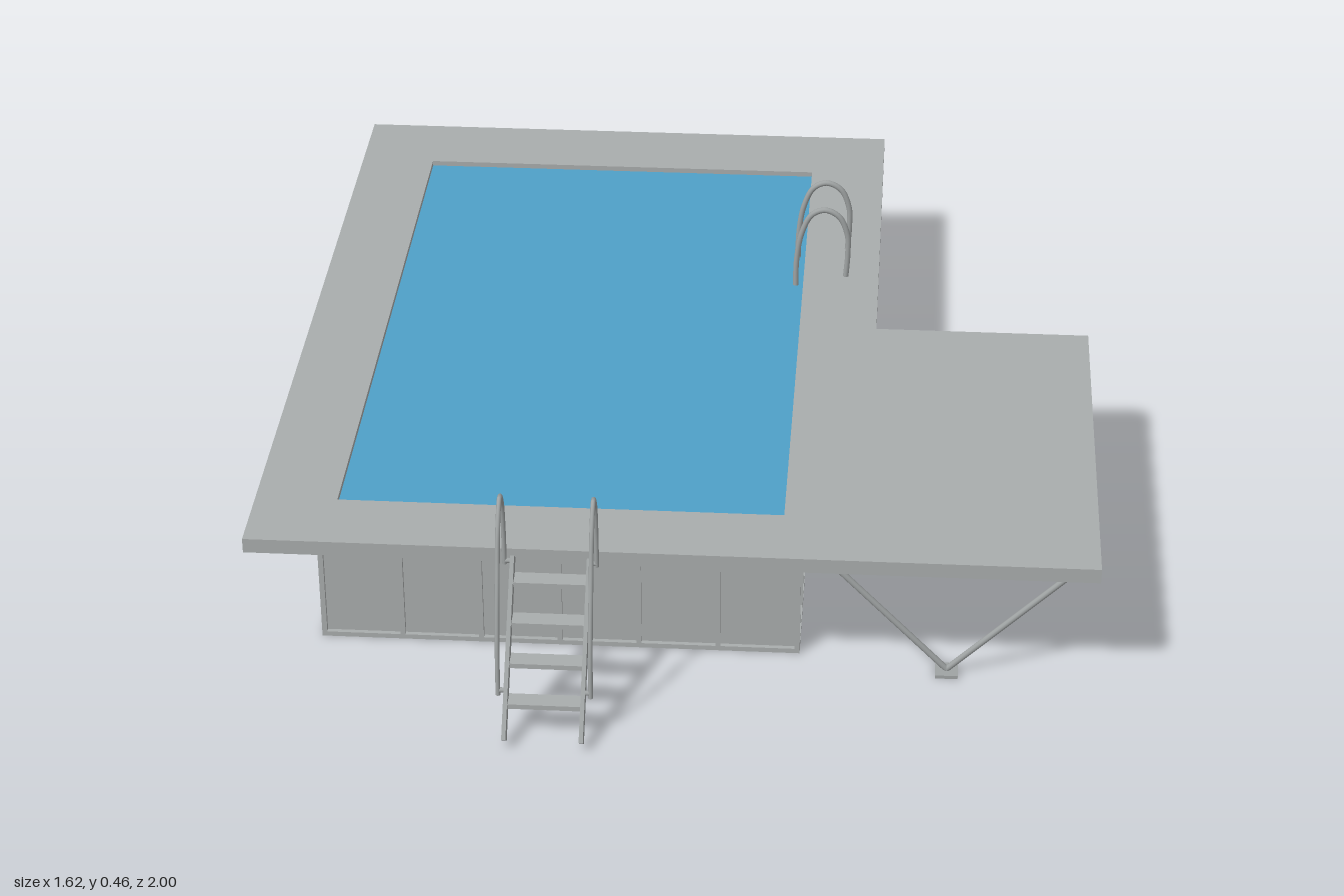
import * as THREE from 'three';

const gray = new THREE.MeshStandardMaterial({ color: 0xa9adad });
gray.name = 'deckGray';
const metal = new THREE.MeshStandardMaterial({ color: 0x9fa3a3 });
metal.name = 'metalGray';
const waterBlue = new THREE.MeshStandardMaterial({ color: 0x4fa0c8 });
waterBlue.name = 'waterBlue';
const linerBlue = new THREE.MeshStandardMaterial({ color: 0x2b629c });
linerBlue.name = 'linerBlue';

const UP = new THREE.Vector3(0, 1, 0);
const vec = (p) => new THREE.Vector3(...p);

export function createModel() {
  const root = new THREE.Group();
  root.name = 'raisedPool';

  const group = (name) => {
    const g = new THREE.Group();
    g.name = name;
    root.add(g);
    return g;
  };
  const add = (parent, name, geometry, material) => {
    const m = new THREE.Mesh(geometry, material);
    m.name = name;
    parent.add(m);
    return m;
  };
  // Box given by its limits on each axis
  const box = (parent, name, x0, x1, y0, y1, z0, z1, material = gray) => {
    const m = add(parent, name, new THREE.BoxGeometry(x1 - x0, y1 - y0, z1 - z0), material);
    m.position.set((x0 + x1) / 2, (y0 + y1) / 2, (z0 + z1) / 2);
    return m;
  };
  // Straight round bar between two points
  const bar = (parent, name, a, b, r) => {
    const p = vec(a), q = vec(b), d = q.clone().sub(p);
    const m = add(parent, name, new THREE.CylinderGeometry(r, r, d.length(), 10), metal);
    m.position.copy(p).add(q).multiplyScalar(0.5);
    m.quaternion.setFromUnitVectors(UP, d.normalize());
    return m;
  };
  const tube = (parent, name, points, r) => {
    const curve = new THREE.CatmullRomCurve3(points.map(vec));
    return add(parent, name, new THREE.TubeGeometry(curve, 48, r, 10), metal);
  };

  // Deck slab: L-shaped outline with the pool opening, z mapped to -shape y
  const outline = [[-0.81, -1], [0.37, -1], [0.37, -0.12], [0.81, -0.12], [0.81, 0.76], [-0.81, 0.76]];
  const opening = [[-0.655, -0.85], [0.21, -0.85], [0.21, 0.61], [-0.655, 0.61]];
  const toV2 = ([x, z]) => new THREE.Vector2(x, -z);
  const shape = new THREE.Shape(outline.map(toV2));
  shape.holes.push(new THREE.Path(opening.map(toV2)));
  const slabGeo = new THREE.ExtrudeGeometry(shape, { depth: 0.015, bevelEnabled: false });
  slabGeo.rotateX(-Math.PI / 2);
  const deck = group('deck');
  add(deck, 'deckSlab', slabGeo, gray).position.y = 0.28;

  // Fascia strips hanging along the deck edge
  const t = 0.012;
  box(deck, 'backFascia', -0.81, 0.37, 0.265, 0.28, -1, -1 + t);
  box(deck, 'frontFascia', -0.81, 0.81, 0.265, 0.28, 0.76 - t, 0.76);
  box(deck, 'leftFascia', -0.81, -0.81 + t, 0.265, 0.28, -1 + t, 0.76 - t);
  box(deck, 'poolSideFascia', 0.37 - t, 0.37, 0.265, 0.28, -1 + t, -0.12);
  box(deck, 'terraceBackFascia', 0.37 - t, 0.81, 0.265, 0.28, -0.12, -0.12 + t);
  box(deck, 'terraceSideFascia', 0.81 - t, 0.81, 0.265, 0.28, -0.12 + t, 0.76 - t);

  // Pool walls, floor and water
  const X0 = -0.69, X1 = 0.245, Z0 = -0.88, Z1 = 0.645, inset = 0.009;
  const pool = group('pool');
  box(pool, 'leftWall', X0 + inset, -0.655, 0.004, 0.281, Z0 + inset, Z1 - inset);
  box(pool, 'rightWall', 0.21, X1 - inset, 0.004, 0.281, Z0 + inset, Z1 - inset);
  box(pool, 'backWall', -0.655, 0.21, 0.004, 0.281, Z0 + inset, -0.85);
  box(pool, 'frontWall', -0.655, 0.21, 0.004, 0.281, 0.61, Z1 - inset);
  box(pool, 'floor', X0 + inset, X1 - inset, 0.001, 0.006, Z0 + inset, Z1 - inset, linerBlue);
  box(pool, 'water', -0.655, 0.21, 0.262, 0.27, -0.85, 0.61, waterBlue);

  // Wall frame: bottom and top rails plus evenly spaced ribs
  const frame = group('wallFrame');
  for (const [y0, y1] of [[0, 0.01], [0.27, 0.28]]) {
    for (const x of [X0, X1 - inset]) box(frame, 'sideRail', x, x + inset, y0, y1, Z0, Z1);
    for (const z of [Z0, Z1 - inset]) box(frame, 'endRail', X0 + inset, X1 - inset, y0, y1, z, z + inset);
  }
  const w = 0.005;
  for (let i = 0; i <= 6; i++) {
    const x = X0 + w + (X1 - X0 - 2 * w) * i / 6;
    for (const z of [Z0, Z1 - inset]) box(frame, 'endRib', x - w, x + w, 0.01, 0.27, z, z + inset);
  }
  for (let i = 0; i <= 10; i++) {
    const z = Z0 + w + (Z1 - Z0 - 2 * w) * i / 10;
    for (const x of [X0, X1 - inset]) box(frame, 'sideRib', x, x + inset, 0.01, 0.27, z - w, z + w);
  }

  // Short diagonal braces from the walls to the overhanging deck
  const braces = group('deckBraces');
  for (let i = 0; i < 4; i++) {
    const x = -0.645 + i * 0.2825;
    bar(braces, 'frontBrace', [x, 0.22, Z1 - 0.004], [x, 0.28, Z1 + 0.07], 0.005);
    bar(braces, 'backBrace', [x, 0.22, Z0 + 0.004], [x, 0.28, Z0 - 0.07], 0.005);
  }
  for (let i = 0; i < 6; i++) {
    const z = -0.835 + i * 0.287;
    bar(braces, 'leftBrace', [X0 + 0.004, 0.22, z], [X0 - 0.075, 0.28, z], 0.005);
    bar(braces, 'rightBrace', [X1 - 0.004, 0.22, z], [X1 + 0.07, 0.28, z], 0.005);
  }

  // Terrace joists and V-shaped legs on foot plates
  const terrace = group('terraceSupports');
  for (let i = 0; i < 5; i++) {
    const z = -0.04 + i * 0.1825;
    box(terrace, 'joist', 0.25, 0.798, 0.259, 0.281, z - 0.007, z + 0.007);
  }
  for (const z of [-0.04, 0.325, 0.69]) {
    bar(terrace, 'innerLeg', [0.53, 0.008, z], [0.285, 0.262, z], 0.006);
    bar(terrace, 'outerLeg', [0.53, 0.008, z], [0.785, 0.262, z], 0.006);
    box(terrace, 'footPlate', 0.508, 0.552, 0, 0.007, z - 0.022, z + 0.022, metal);
  }

  // Entry ladder: sloped stringers, treads and curved handrails
  const ladder = group('entryLadder');
  const slope = new THREE.Vector2(0.215, 0.27);
  for (const [x, railX] of [[-0.294, -0.309], [-0.149, -0.135]]) {
    const stringer = add(ladder, 'stringer', new THREE.BoxGeometry(0.008, slope.length(), 0.026), metal);
    stringer.position.set(x, 0.152, 0.881);
    stringer.rotation.x = -Math.atan2(slope.x, slope.y);
    tube(ladder, 'handrail', [[railX, 0.085, 0.938], [railX, 0.17, 0.93], [railX, 0.25, 0.912],
      [railX, 0.33, 0.887], [railX, 0.41, 0.86], [railX, 0.45, 0.822], [railX, 0.42, 0.795],
      [railX, 0.36, 0.783], [railX, 0.275, 0.78]], 0.0045);
    bar(ladder, 'lowerRailMount', [x, 0.095, 0.936], [railX, 0.095, 0.936], 0.005);
    bar(ladder, 'upperRailMount', [x, 0.282, 0.78], [railX, 0.282, 0.78], 0.005);
  }
  for (let i = 0; i < 4; i++) {
    const y = 0.247 - i * 0.059, z = 0.792 + i * 0.048;
    box(ladder, 'tread', -0.292, -0.151, y - 0.005, y + 0.005, z - 0.018, z + 0.018);
  }

  // Pair of arched grab rails at the pool edge
  const grabRails = group('grabRails');
  for (const z of [-0.47, -0.345]) {
    tube(grabRails, 'grabRail', [[0.193, 0.265, z], [0.194, 0.33, z], [0.204, 0.395, z],
      [0.225, 0.44, z], [0.253, 0.452, z], [0.283, 0.437, z], [0.301, 0.395, z],
      [0.303, 0.35, z], [0.299, 0.285, z]], 0.006);
  }

  return root;
}
